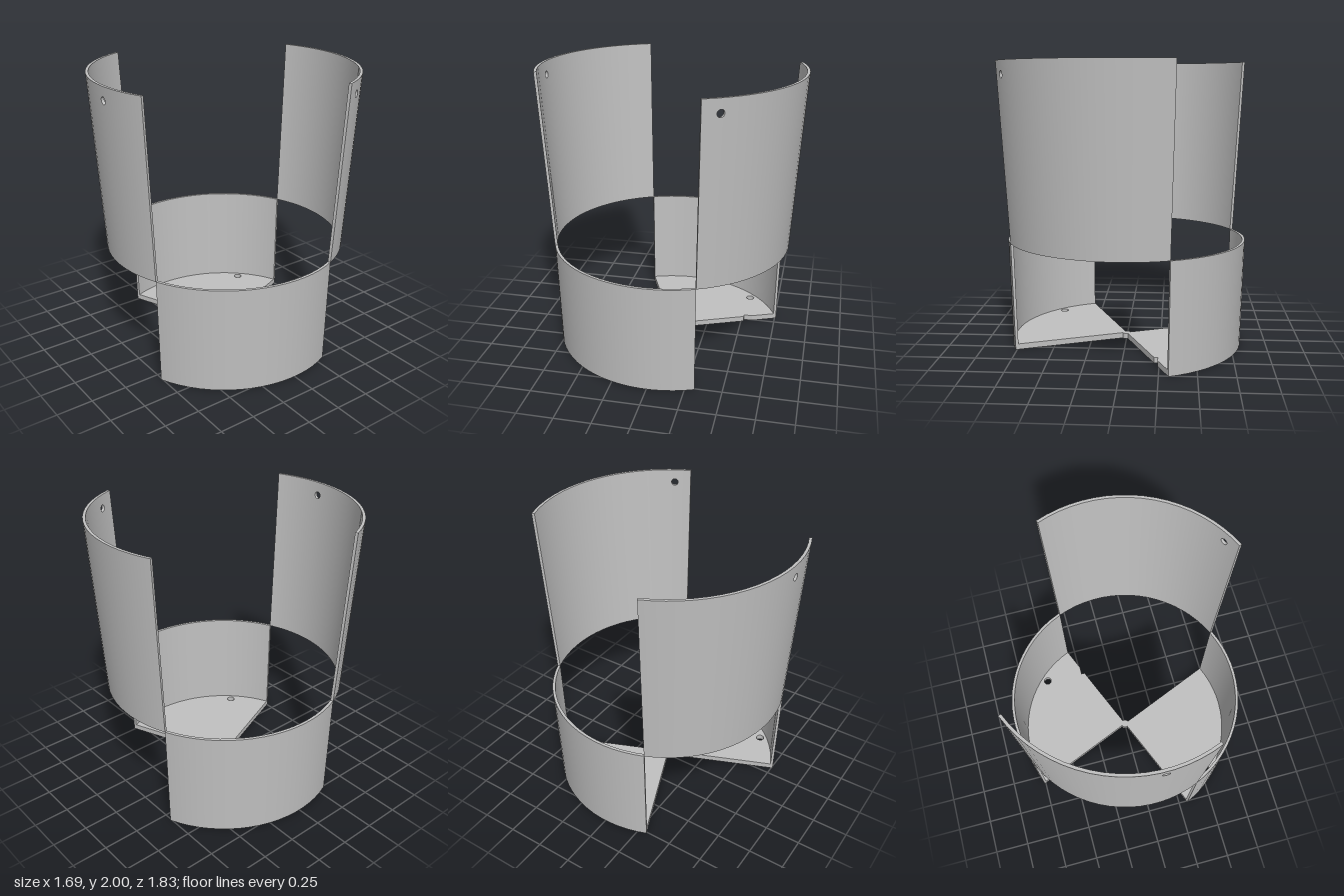
import * as THREE from 'three';
import { mergeGeometries } from 'three/addons/utils/BufferGeometryUtils.js';

const grey = new THREE.MeshStandardMaterial({ color: 0xc0c0c0 });
grey.name = 'plain grey';

const rad = THREE.MathUtils.degToRad;
const THICK = 0.02, SPLIT = 0.76, TOP = 2, FLOOR = 0.04, PANELS = 18;
const HOLE_Y = 1.907, HOLE_R = 0.025;

// Curved, tapering quarter wall; angles run from +z towards +x.
function wall(startDeg, y0, y1, r0, r1, holeDeg) {
  const slope = (r1 - r0) / (y1 - y0);
  const point = (a, y, t) => {
    const r = r0 + slope * (y - y0) - (1 - t) * THICK;
    return [r * Math.sin(a), y, r * Math.cos(a)];
  };
  const angle = (i) => rad(startDeg + (i * 90) / PANELS);
  const parts = [];
  let holeLoop = null;

  // Outer and inner skins, one panel at a time, smooth across panels
  for (let i = 0; i < PANELS; i++) {
    const a = angle(i), b = angle(i + 1);
    const panel = new THREE.Shape([[a, y0], [b, y0], [b, y1], [a, y1]].map((p) => new THREE.Vector2(...p)));
    if (holeDeg !== undefined && rad(holeDeg) > a && rad(holeDeg) < b) {
      const hole = new THREE.Path();
      hole.absellipse(rad(holeDeg), HOLE_Y, HOLE_R / r1, HOLE_R, 0, Math.PI * 2, true);
      panel.holes.push(hole);
      holeLoop = hole.getPoints(12).map((p) => [p.x, p.y]);
    }
    for (const t of [0, 1]) {
      const g = new THREE.ShapeGeometry(panel, 12).toNonIndexed();
      g.deleteAttribute('uv');
      const flat = g.attributes.position, tri = [], normals = [];
      for (let k = 0; k < flat.count; k += 3) {
        for (const j of t ? [0, 1, 2] : [0, 2, 1]) {
          const u = flat.getX(k + j), y = flat.getY(k + j), s = t ? 1 : -1;
          tri.push(...point(u, y, t));
          const n = new THREE.Vector3(Math.sin(u), -slope, Math.cos(u)).normalize();
          normals.push(n.x * s, n.y * s, n.z * s);
        }
      }
      g.setAttribute('position', new THREE.Float32BufferAttribute(tri, 3));
      g.setAttribute('normal', new THREE.Float32BufferAttribute(normals, 3));
      parts.push(g);
    }
  }

  // Edge faces joining both skins around the outline and the hole
  const outline = [];
  for (let i = 0; i <= PANELS; i++) outline.push([angle(i), y0]);
  for (let i = PANELS; i >= 0; i--) outline.push([angle(i), y1]);
  for (const loop of holeLoop ? [outline, holeLoop] : [outline]) {
    const tri = [];
    loop.forEach((p, i) => {
      const q = loop[(i + 1) % loop.length];
      if (Math.hypot(p[0] - q[0], p[1] - q[1]) < 1e-6) return;
      const A = point(...p, 0), B = point(...q, 0), C = point(...q, 1), D = point(...p, 1);
      tri.push(...A, ...B, ...C, ...A, ...C, ...D);
    });
    const g = new THREE.BufferGeometry();
    g.setAttribute('position', new THREE.Float32BufferAttribute(tri, 3));
    g.computeVertexNormals();
    parts.push(g);
  }
  return mergeGeometries(parts);
}

// Quarter floor plate drawn in x and z, with a round hole
function floorPlate(startDeg, holeAt, notch = []) {
  const pts = [new THREE.Vector2(0, 0)];
  for (let i = 0; i <= PANELS; i++) {
    const a = rad(startDeg + (i * 90) / PANELS);
    pts.push(new THREE.Vector2(0.803 * Math.cos(a), 0.803 * Math.sin(a)));
  }
  for (const p of notch) pts.push(new THREE.Vector2(...p));
  const shape = new THREE.Shape(pts);
  const hole = new THREE.Path();
  hole.absarc(holeAt, holeAt, 0.029, 0, Math.PI * 2, true);
  shape.holes.push(hole);
  const g = new THREE.ExtrudeGeometry(shape, { depth: FLOOR, bevelEnabled: false, curveSegments: 16 });
  return g.rotateX(Math.PI / 2).translate(0, FLOOR, 0);
}

export function createModel() {
  const model = new THREE.Group();
  model.name = 'quarteredCup';
  const add = (name, geometry) => {
    const mesh = new THREE.Mesh(geometry, grey);
    mesh.name = name;
    model.add(mesh);
    return mesh;
  };

  // Tall upper walls at front and back
  add('upperFrontWall', wall(-67.5, SPLIT, TOP, 0.843, 0.917, 0));
  add('upperBackWall', wall(112.5, SPLIT, TOP, 0.843, 0.917, 120));

  // Short lower walls at the sides
  add('lowerLeftWall', wall(22.5, 0, SPLIT, 0.822, 0.842));
  add('lowerRightWall', wall(202.5, 0, SPLIT, 0.822, 0.842));

  // Floor plates under the lower walls, one with a small edge notch
  add('leftFloor', floorPlate(-22.5, 0.533));
  add('rightFloor', floorPlate(157.5, -0.533, [[-0.241, -0.582], [-0.241, -0.52], [-0.2154, -0.52]]));

  // Hub joining the floor plates
  add('hub', new THREE.CylinderGeometry(0.03, 0.03, FLOOR, 24)).position.y = FLOOR / 2;

  return model;
}
